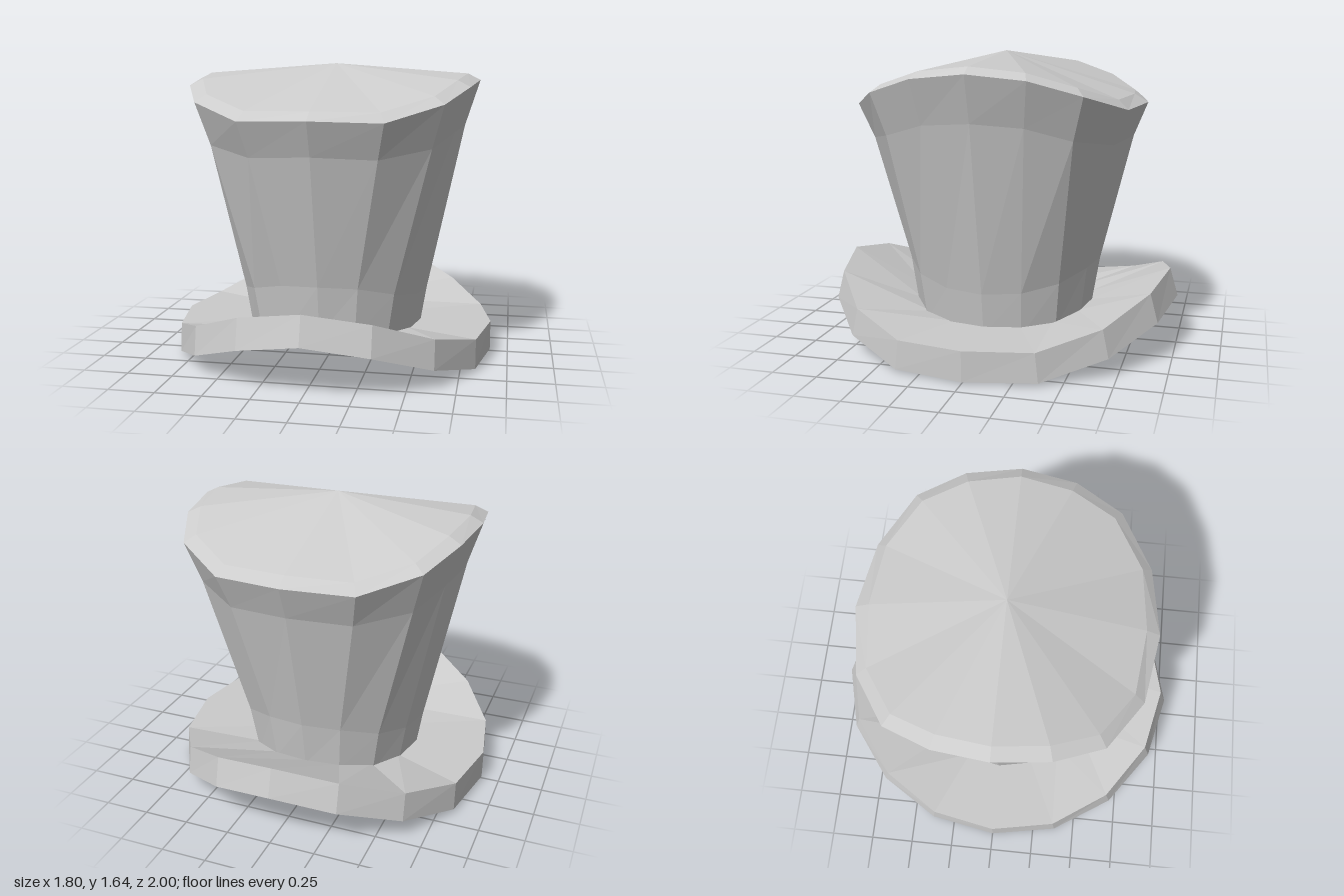
import * as THREE from 'three';

const SIDES = 16;

// Mirrors a quarter ring (five points from the left side to the front) into a full ring.
function fullRing(quarter) {
  return Array.from({ length: SIDES }, (_, i) => {
    const q = i % 8;
    const [x, y, z] = quarter[q <= 4 ? q : 8 - q];
    return [i <= 4 || i >= 12 ? x : -x, y, i <= 8 ? z : -z];
  });
}

// Skins a stack of rings with quads; an apex point closes the last ring with a fan.
function loft(name, quarters, material, apex) {
  const rings = quarters.map(fullRing);
  const positions = rings.flat(2);
  const index = [];
  for (let r = 0; r < rings.length - 1; r++) {
    for (let i = 0; i < SIDES; i++) {
      const j = (i + 1) % SIDES;
      const a = r * SIDES + i, b = r * SIDES + j;
      const c = a + SIDES, d = b + SIDES;
      index.push(a, c, b, b, c, d);
    }
  }
  if (apex) {
    const tip = rings.length * SIDES, base = tip - SIDES;
    positions.push(...apex);
    for (let i = 0; i < SIDES; i++) index.push(base + i, tip, base + (i + 1) % SIDES);
  }
  const geometry = new THREE.BufferGeometry();
  geometry.setAttribute('position', new THREE.Float32BufferAttribute(positions, 3));
  geometry.setIndex(index);
  geometry.computeVertexNormals();
  const mesh = new THREE.Mesh(geometry, material);
  mesh.name = name;
  return mesh;
}

// Elliptical quarter ring with its own height at each of the five points.
function ellipse(rx, rz, heights) {
  return heights.map((y, k) => {
    const t = (k / 4) * Math.PI / 2;
    return [k === 4 ? 0 : rx * Math.cos(t), y, rz * Math.sin(t)];
  });
}

export function createModel() {
  const felt = new THREE.MeshStandardMaterial({
    color: 0xcccccc, flatShading: true, side: THREE.DoubleSide,
  });
  const hat = new THREE.Group();
  hat.name = 'topHat';

  // Thick brim, curled up at front and back
  const innerBottom = ellipse(0.5, 0.56, [0.005, 0, 0.07, 0.15, 0.18]);
  hat.add(loft('brim', [
    innerBottom,
    ellipse(0.9, 1, [0.01, 0.015, 0.105, 0.22, 0.28]),
    ellipse(0.9, 0.955, [0.175, 0.175, 0.26, 0.38, 0.435]),
    ellipse(0.48, 0.5, [0.17, 0.17, 0.18, 0.205, 0.215]),
    innerBottom,
  ], felt));

  // Flared hollow crown with a saddle-shaped rim, bevel and shallow cone top
  hat.add(loft('crown', [
    [[0.49, 0.12, 0], [0.45, 0.12, 0.2], [0.35, 0.14, 0.37], [0.19, 0.19, 0.48], [0, 0.2, 0.51]],
    [[0.53, 0.36, 0], [0.49, 0.37, 0.21], [0.39, 0.41, 0.395], [0.21, 0.46, 0.515], [0, 0.47, 0.555]],
    [[0.73, 1.3, 0], [0.69, 1.28, 0.27], [0.59, 1.21, 0.5], [0.335, 1.165, 0.67], [0, 1.18, 0.73]],
    [[0.81, 1.55, 0], [0.77, 1.52, 0.3], [0.655, 1.44, 0.56], [0.375, 1.355, 0.745], [0, 1.365, 0.805]],
    [[0.74, 1.585, 0], [0.7, 1.555, 0.28], [0.6, 1.48, 0.52], [0.35, 1.405, 0.69], [0, 1.41, 0.73]],
  ], felt, [0, 1.64, 0]));

  return hat;
}
